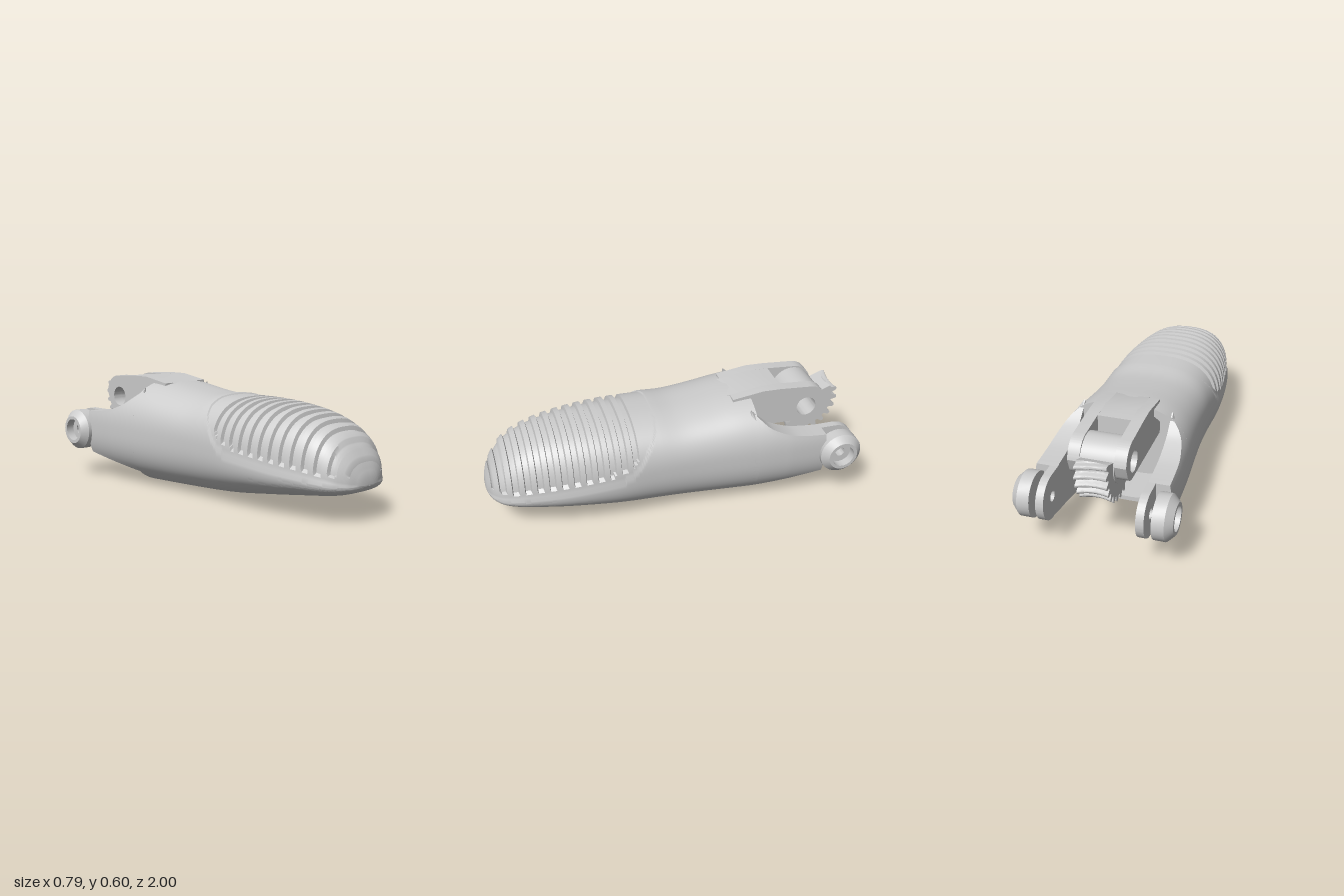
import * as THREE from 'three';
import { toCreasedNormals } from 'three/addons/utils/BufferGeometryUtils.js';

const material = new THREE.MeshStandardMaterial({ color: 0xcccccc });
const V = (x, y, z) => new THREE.Vector3(x, y, z);

// Smooth curve through [z, value] points listed from high z to low z
function curve(pts) {
  const p = pts.slice().reverse(), n = p.length;
  const slope = i => {
    const a = p[Math.max(0, i - 1)], b = p[Math.min(n - 1, i + 1)];
    return (b[1] - a[1]) / (b[0] - a[0]);
  };
  return z => {
    if (z <= p[0][0]) return p[0][1];
    if (z >= p[n - 1][0]) return p[n - 1][1];
    let i = 0;
    while (z > p[i + 1][0]) i++;
    const h = p[i + 1][0] - p[i][0], t = (z - p[i][0]) / h, t2 = t * t, t3 = t2 * t;
    return (2 * t3 - 3 * t2 + 1) * p[i][1] + (t3 - 2 * t2 + t) * h * slope(i)
      + (3 * t2 - 2 * t3) * p[i + 1][1] + (t3 - t2) * h * slope(i + 1);
  };
}

const halfWidth = curve([[1, 0.03], [0.995, 0.07], [0.985, 0.105], [0.97, 0.14], [0.93, 0.19], [0.88, 0.22],
  [0.8, 0.248], [0.6, 0.287], [0.35, 0.31], [0.1, 0.305], [-0.1, 0.31], [-0.43, 0.335], [-0.6, 0.343]]);
const topY = curve([[1, 0.21], [0.995, 0.245], [0.985, 0.28], [0.97, 0.315], [0.91, 0.405], [0.84, 0.46],
  [0.73, 0.505], [0.57, 0.535], [0.36, 0.55], [0.1, 0.548], [-0.02, 0.54], [-0.18, 0.555], [-0.34, 0.577], [-0.5, 0.588]]);
const bottomY = curve([[1, 0.185], [0.985, 0.165], [0.97, 0.155], [0.89, 0.13], [0.73, 0.105],
  [0.46, 0.065], [0.2, 0.03], [-0.07, 0.012], [-0.43, 0]]);
const midY = curve([[1, 0.19], [0.8, 0.215], [0.6, 0.235], [0.4, 0.26], [0.2, 0.28], [0, 0.295], [-0.43, 0.3]]);
const padEdge = curve([[1, 0.19], [0.9, 0.2], [0.6, 0.235], [0.35, 0.275], [0.28, 0.295], [0.22, 0.345],
  [0.17, 0.42], [0.13, 0.48], [0.1, 0.54], [0.085, 0.6]]);
const POWER = 2.5;

// Skin a list of loops; loops run counter-clockwise when seen from behind the direction of travel
function loft(rings, crease = 0.6) {
  const pos = [], index = [], n = rings[0].length;
  rings.forEach(r => r.forEach(p => pos.push(p.x, p.y, p.z)));
  for (let i = 0; i < rings.length - 1; i++) for (let j = 0; j < n; j++) {
    const a = i * n + j, b = i * n + (j + 1) % n;
    index.push(a, a + n, b, b, a + n, b + n);
  }
  [0, rings.length - 1].forEach((r, end) => {
    const c = rings[r].reduce((s, p) => s.add(p), V(0, 0, 0)).divideScalar(n);
    const k = pos.length / 3;
    pos.push(c.x, c.y, c.z);
    for (let j = 0; j < n; j++) {
      const a = r * n + j, b = r * n + (j + 1) % n;
      if (end) index.push(k, b, a); else index.push(k, a, b);
    }
  });
  const g = new THREE.BufferGeometry();
  g.setAttribute('position', new THREE.Float32BufferAttribute(pos, 3));
  g.setIndex(index);
  return toCreasedNormals(g, crease);
}

// Superelliptic body section at z, with the grip pad sunk and grooved
function bodyRing(z, groove = false, sx = 1, sy = 1) {
  const ring = [], N = 112, m = midY(z);
  for (let j = 0; j < N; j++) {
    const t = (j + 0.5) / N * Math.PI * 2, c = Math.cos(t), s = Math.sin(t);
    let x = halfWidth(z) * sx * Math.sign(c) * Math.abs(c) ** (2 / POWER);
    let y = (s > 0 ? topY(z) - m : m - bottomY(z)) * sy * Math.sign(s) * Math.abs(s) ** (2 / POWER);
    let sink = 0;
    if (z > 0.085 && z < 0.995 && y + m > padEdge(z)) {
      sink = 0.007;
      if (groove && y + m > padEdge(z) + 0.05) sink = 0.025;
    }
    const k = 1 - Math.min(0.3, sink / Math.hypot(x, y));
    ring.push(V(x * k, m + y * k, z));
  }
  return ring;
}

function bodyGeometry() {
  const rings = [1, 0.998, 0.995, 0.99, 0.985, 0.98, 0.975].map(z => bodyRing(z));
  for (let k = 144; k >= -28; k--) rings.push(bodyRing(0.225 + 0.062 * k / 12, k >= 0 && k % 12 < 6));
  for (let i = 0; i <= 12; i++) rings.push(bodyRing(0.05 - 0.04 * i));
  // open back with a hollow inside
  for (const z of [-0.43, -0.43, -0.3, -0.2]) rings.push(bodyRing(z, false, 0.72, 0.92));
  return loft(rings);
}

// Side arm: follows the body's outer skin, flat on the inside
function armGeometry(side) {
  const upper = curve([[-0.4, 0.55], [-0.45, 0.5], [-0.5, 0.46], [-0.61, 0.415], [-0.7, 0.4], [-0.8, 0.392]]);
  const rings = [];
  for (let i = 0; i <= 20; i++) {
    const z = -0.4 - 0.02 * i, lo = 0.075 + 0.19 * Math.max(0, -z - 0.43), hi = upper(z), m = midY(z);
    const loop = [];
    for (let j = 0; j <= 16; j++) {
      const y = lo + (hi - lo) * j / 16;
      const t = Math.abs(y - m) / (y > m ? topY(z) - m : m - bottomY(z));
      loop.push(V(side * Math.max(0.235, halfWidth(z) * Math.max(0, 1 - t ** POWER) ** (1 / POWER)), y, z));
    }
    loop.push(V(side * 0.228, hi, z), V(side * 0.228, lo, z));
    rings.push(side > 0 ? loop : loop.reverse());
  }
  return loft(rings, 0.5);
}

// Flat plate: outline drawn in (-z, y), spanning x0 to x1
function slab(shape, x0, x1) {
  const g = new THREE.ExtrudeGeometry(shape, { depth: x1 - x0, bevelEnabled: false, curveSegments: 24 });
  g.rotateY(Math.PI / 2).translate(x0, 0, 0);
  return toCreasedNormals(g, 0.5);
}
const hole = (u, y, r) => new THREE.Path().absarc(u, y, r, 0, Math.PI * 2, true);

const AXLE = { u: 0.755, y: 0.465 };

// Worm-wheel sector: skewed teeth with a hollowed face
function gearGeometry() {
  const rings = [], steps = 108, M = 12;
  for (let i = 0; i <= steps; i++) {
    const phi = THREE.MathUtils.degToRad(22 - 135 * i / steps), loop = [];
    const at = (x, r) => loop.push(V(x, AXLE.y + r * Math.sin(phi), -AXLE.u - r * Math.cos(phi)));
    for (let j = 0; j <= M; j++) {
      const x = 0.08 - 0.16 * j / M;
      const wave = Math.cos(phi * 24 + x * 14);
      at(x, 0.182 + 0.016 * Math.tanh(2 * wave) + 0.012 * (x / 0.08) ** 2);
    }
    at(-0.08, 0.09);
    at(0.08, 0.09);
    rings.push(loop);
  }
  return loft(rings, 0.7);
}

export function createModel() {
  const model = new THREE.Group();
  const add = (name, geometry, parent = model) => {
    const mesh = new THREE.Mesh(geometry, material);
    mesh.name = name;
    parent.add(mesh);
    return mesh;
  };

  add('fingertipBody', bodyGeometry());

  // Upper hinge: two cheeks joined by a block
  const cheek = new THREE.Shape();
  cheek.moveTo(0.33, 0.385);
  cheek.lineTo(0.77, 0.385);
  cheek.quadraticCurveTo(0.83, 0.385, 0.85, 0.43);
  cheek.lineTo(0.872, 0.49);
  cheek.quadraticCurveTo(0.85, 0.58, 0.77, 0.586);
  cheek.lineTo(0.6, 0.598);
  cheek.lineTo(0.5, 0.6);
  cheek.lineTo(0.33, 0.575);
  cheek.holes.push(hole(AXLE.u, AXLE.y, 0.055));
  add('hingeCheekLeft', slab(cheek, 0.085, 0.145));
  add('hingeCheekRight', slab(cheek, -0.145, -0.085));
  const block = new THREE.Shape([[0.3, 0.34], [0.5, 0.34], [0.5, 0.385], [0.61, 0.385], [0.61, 0.597],
    [0.5, 0.6], [0.33, 0.575], [0.3, 0.565]].map(p => new THREE.Vector2(...p)));
  add('hingeBlock', slab(block, -0.09, 0.09));

  // Hub and gear between the cheeks
  const hub = new THREE.Shape().absarc(AXLE.u, AXLE.y, 0.115, 0, Math.PI * 2);
  hub.holes.push(hole(AXLE.u, AXLE.y, 0.055));
  add('gearHub', slab(hub, -0.085, 0.085));
  add('gearSector', gearGeometry());

  // Lower fork: arm, inner tab and outer boss on each side
  const tab = new THREE.Shape();
  tab.moveTo(0.78, 0.142);
  tab.lineTo(0.87, 0.16);
  tab.absarc(0.88, 0.275, 0.117, -Math.PI / 2, Math.PI / 2);
  tab.lineTo(0.78, 0.392);
  tab.holes.push(hole(0.88, 0.275, 0.027));
  const bossProfile = [[0.027, 0.3], [0.115, 0.3], [0.115, 0.362], [0.08, 0.397], [0.062, 0.397],
    [0.062, 0.35], [0.027, 0.35], [0.027, 0.3]].map(p => new THREE.Vector2(...p));
  for (const side of [1, -1]) {
    const fork = new THREE.Group();
    fork.name = side > 0 ? 'forkLeft' : 'forkRight';
    model.add(fork);
    add('arm', armGeometry(side), fork);
    add('innerTab', side > 0 ? slab(tab, 0.226, 0.266) : slab(tab, -0.266, -0.226), fork);
    const boss = add('boss', toCreasedNormals(new THREE.LatheGeometry(bossProfile, 28), 0.5), fork);
    boss.rotation.z = -side * Math.PI / 2;
    boss.position.set(0, 0.275, -0.883);
  }
  return model;
}
